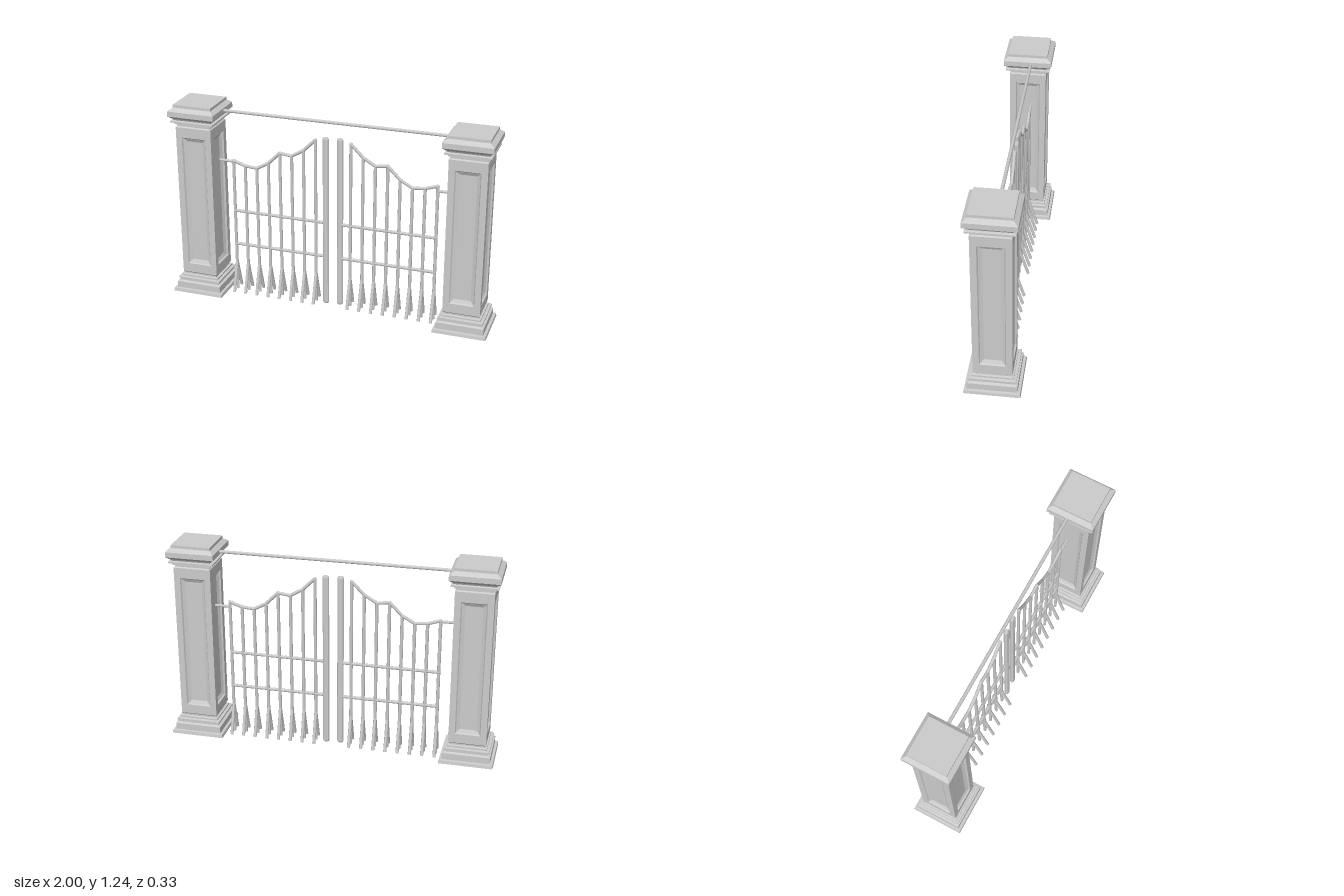
import * as THREE from 'three';

const metal = new THREE.MeshStandardMaterial({ color: 0xcccccc });
const stone = new THREE.MeshStandardMaterial({ color: 0xcccccc, flatShading: true });
const GATE_Z = -0.02;

function add(parent, name, geometry, material) {
  const mesh = new THREE.Mesh(geometry, material);
  mesh.name = name;
  parent.add(mesh);
  return mesh;
}

// Round rod between two points
function rod(parent, name, a, b, radius = 0.01) {
  const from = new THREE.Vector3(...a), to = new THREE.Vector3(...b);
  const dir = to.clone().sub(from);
  const mesh = add(parent, name, new THREE.CylinderGeometry(radius, radius, dir.length(), 8), metal);
  mesh.position.copy(from).add(to).multiplyScalar(0.5);
  mesh.quaternion.setFromUnitVectors(new THREE.Vector3(0, 1, 0), dir.normalize());
  return mesh;
}

// Square moulding: profile of [half width, y], swept round four sides
function moulding(profile) {
  const points = profile.map(([w, y]) => new THREE.Vector2(w * Math.SQRT2, y));
  return new THREE.LatheGeometry(points, 4, Math.PI / 4);
}

// One shaft face: nested rectangles [half width, bottom, top, z] joined into a sunken panel
function panelFace(loops) {
  const pos = [], index = [];
  for (const [w, y0, y1, z] of loops) pos.push(-w, y0, z, w, y0, z, w, y1, z, -w, y1, z);
  for (let k = 0; k < loops.length - 1; k++) {
    for (let i = 0; i < 4; i++) {
      const a = k * 4 + i, b = k * 4 + (i + 1) % 4;
      index.push(a, b, b + 4, a, b + 4, a + 4);
    }
  }
  const f = (loops.length - 1) * 4;
  index.push(f, f + 1, f + 2, f, f + 2, f + 3);
  const g = new THREE.BufferGeometry();
  g.setAttribute('position', new THREE.Float32BufferAttribute(pos, 3));
  g.setIndex(index);
  g.computeVertexNormals();
  return g;
}

function pillar(name, x) {
  const group = new THREE.Group();
  group.name = name;
  group.position.x = x;
  add(group, 'base', moulding([
    [0, 0.02], [0.163, 0.02], [0.16, 0.04], [0.144, 0.042], [0.144, 0.082], [0.128, 0.088],
    [0.128, 0.1], [0.136, 0.102], [0.136, 0.112], [0.119, 0.115], [0.119, 0.125],
    [0.106, 0.128], [0.106, 0.138], [0.113, 0.145],
  ]), stone);
  add(group, 'capital', moulding([
    [0.113, 1.105], [0.106, 1.112], [0.106, 1.122], [0.118, 1.125], [0.118, 1.136],
    [0.136, 1.139], [0.136, 1.148], [0.12, 1.151], [0.125, 1.16], [0.147, 1.178],
    [0.147, 1.21], [0.121, 1.23], [0.121, 1.247], [0, 1.247],
  ]), stone);
  const face = panelFace([
    [0.113, 0.145, 1.105, 0.113], [0.076, 0.204, 1.042, 0.113],
    [0.07, 0.209, 1.035, 0.103], [0.05, 0.23, 1.015, 0.093],
  ]);
  for (let i = 0; i < 4; i++) add(group, 'shaftPanel', face, stone).rotation.y = i * Math.PI / 2;
  return group;
}

function gateLeaf(name, side, hingeY) {
  const group = new THREE.Group();
  group.name = name;
  group.position.z = GATE_Z;
  const tops = [1.075, 1.0, 0.955, 0.965, 0.89, 0.848, 0.855, 0.88];
  const barX = (i) => side * (0.11 + i * 0.0755);

  tops.forEach((top, i) => {
    const x = barX(i);
    rod(group, 'bar', [x, 0.01, 0], [x, top, 0]);
    // Splayed feet in front of and behind each bar
    for (const s of [-1, 1]) rod(group, 'splayedFoot', [x, 0.2, 0], [x, 0.01, s * 0.06]);
    // Wavy top rail
    if (i > 0) rod(group, 'topRail', [barX(i - 1), tops[i - 1], 0], [x, top, 0]);
    const joint = add(group, 'railJoint', new THREE.SphereGeometry(0.0105, 8, 6), metal);
    joint.position.set(x, top, 0);
  });

  for (const y of [0.325, 0.55]) rod(group, 'crossRail', [side * 0.057, y, 0], [side * 0.645, y, 0]);
  rod(group, 'hinge', [side * 0.635, hingeY, 0], [side * 0.73, hingeY, 0], 0.009);

  // Thick meeting post with bevelled ends
  const profile = [[0, 0.008], [0.015, 0.008], [0.02, 0.016], [0.02, 1.09], [0.015, 1.1], [0, 1.1]];
  const post = add(group, 'meetingPost',
    new THREE.LatheGeometry(profile.map((p) => new THREE.Vector2(...p)), 8), stone);
  post.position.set(side * 0.0435, 0, -side * 0.004);
  post.scale.z = 0.75;
  return group;
}

export function createModel() {
  const model = new THREE.Group();
  model.name = 'gateway';
  model.add(pillar('leftPillar', 0.837), pillar('rightPillar', -0.837));
  model.add(gateLeaf('leftGateLeaf', 1, 0.85), gateLeaf('rightGateLeaf', -1, 0.875));
  rod(model, 'overheadBar', [-0.72, 1.195, GATE_Z], [0.72, 1.195, GATE_Z]);
  return model;
}
